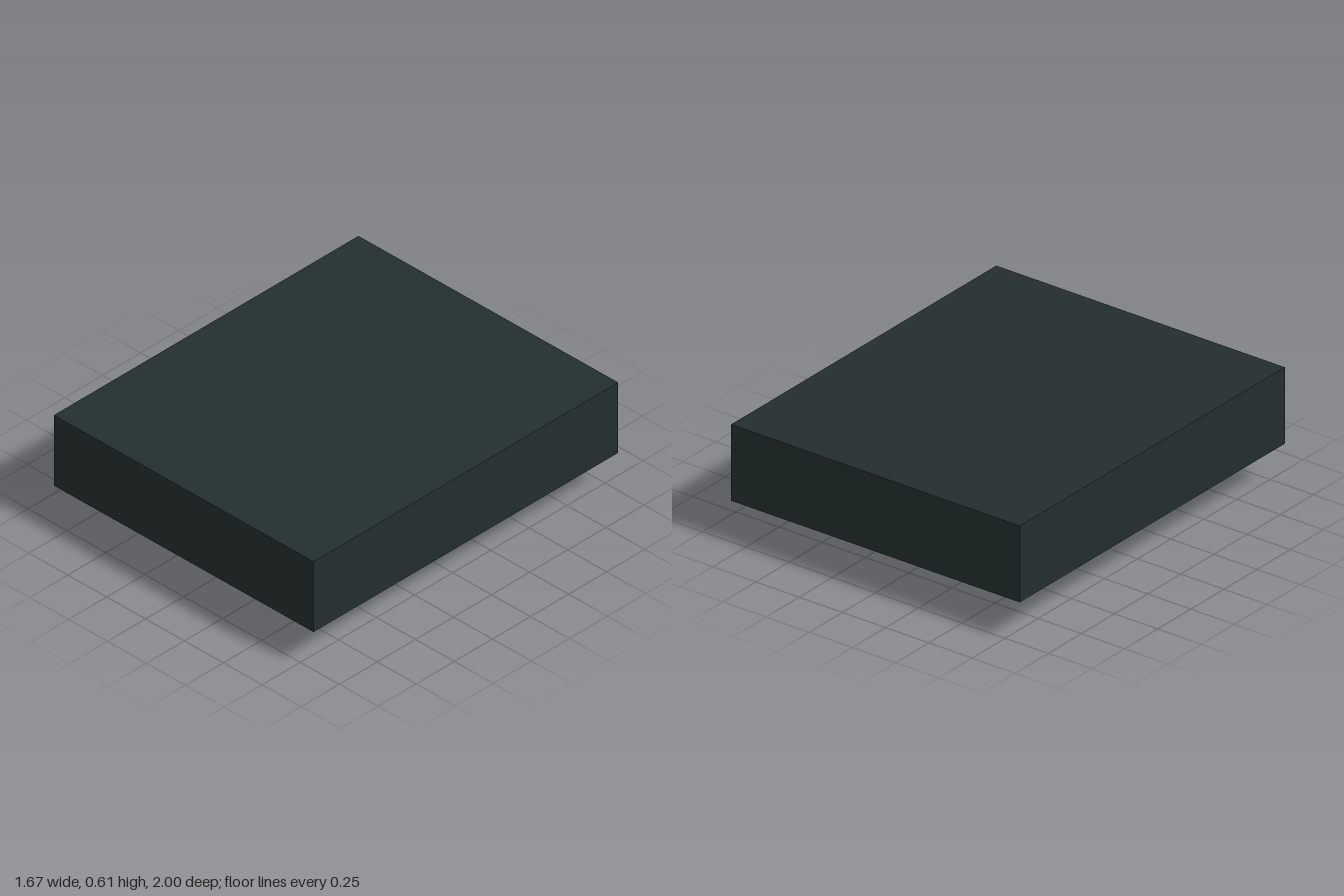
import * as THREE from 'three';

export function createModel() {
  const model = new THREE.Group();
  const slate = new THREE.MeshStandardMaterial({ color: 0x232e2e });
  slate.name = 'dark slate';

  // Box given by half width, half depth, bottom and top heights
  function slab(name, hx, hz, y0, y1, x = 0, z = 0, parent = model) {
    const mesh = new THREE.Mesh(new THREE.BoxGeometry(2 * hx, y1 - y0, 2 * hz), slate);
    mesh.name = name;
    mesh.position.set(x, (y0 + y1) / 2, z);
    parent.add(mesh);
  }

  // Main block and the foot it narrows down to
  slab('upperBlock', 0.835, 1, 0.212, 0.607);
  slab('foot', 0.365, 0.525, 0, 0.046);

  // Inverted stepped underside
  const steps = new THREE.Group();
  steps.name = 'steppedUnderside';
  model.add(steps);
  const count = 11, rise = (0.212 - 0.046) / count, run = 0.031;
  for (let i = 0; i < count; i++) {
    const grow = run * (i + 1), y = 0.046 + rise * i;
    slab('step', 0.365 + grow, 0.525 + grow, y, y + rise, 0, 0, steps);
  }

  // One small bracket at the middle of each side
  for (const s of [-1, 1]) {
    slab('sideBracket', 0.08, 0.05, 0.077, 0.155, s * 0.5, 0);
    slab('endBracket', 0.05, 0.08, 0.077, 0.155, 0, s * 0.662);
  }
  return model;
}
